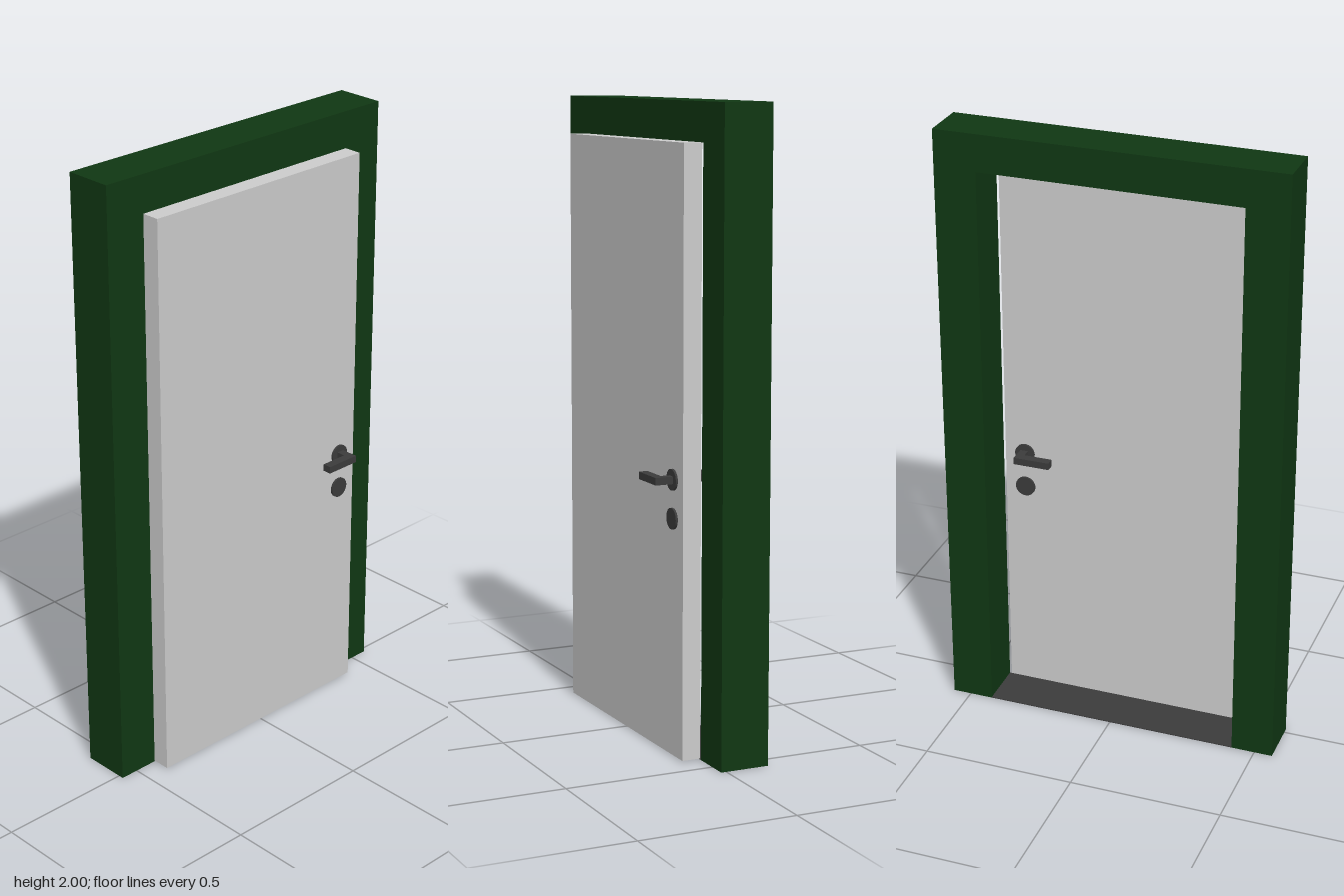
import * as THREE from 'three';

const BACK = -0.142, FRAME_FRONT = 0.017, DOOR_FRONT = 0.077;
const DOOR_MID = (FRAME_FRONT + DOOR_FRONT) / 2;
const DOOR_HALF = (DOOR_FRONT - FRAME_FRONT) / 2;

const green = new THREE.MeshStandardMaterial({ color: 0x10371a & 0xffff00 | 0x13 });
const grey = new THREE.MeshStandardMaterial({ color: 0xcccccc });
const dark = new THREE.MeshStandardMaterial({ color: 0x3b3b3b });

function add(parent, name, geometry, material) {
  const mesh = new THREE.Mesh(geometry, material);
  mesh.name = name;
  parent.add(mesh);
  return mesh;
}

// Box given by its minimum and maximum corners
function box(parent, name, min, max, material) {
  const size = max.map((v, i) => v - min[i]);
  const mesh = add(parent, name, new THREE.BoxGeometry(...size), material);
  mesh.position.set(...max.map((v, i) => (v + min[i]) / 2));
  return mesh;
}

// Lever, neck and round plates for one face; z = 0 is the middle of the leaf
function createHandle(name, side) {
  const handle = new THREE.Group();
  handle.name = name;
  for (const [part, y] of [['handleRose', 0.866], ['keyRose', 0.746]]) {
    const rose = add(handle, part, new THREE.CylinderGeometry(0.033, 0.033, 0.007, 32), dark);
    rose.rotation.x = Math.PI / 2;
    rose.position.set(0.348, y, side * (DOOR_HALF + 0.0035));
  }
  // L-shaped lever seen from above: neck, then grip toward the hinges
  const tip = 0.095, inner = 0.066;
  const outline = new THREE.Shape([
    [0.336, DOOR_HALF], [0.362, DOOR_HALF], [0.362, tip],
    [0.242, tip], [0.242, inner], [0.336, inner],
  ].map(([x, z]) => new THREE.Vector2(x, side * z)));
  const geometry = new THREE.ExtrudeGeometry(outline, { depth: 0.023, bevelEnabled: false });
  geometry.rotateX(Math.PI / 2);
  add(handle, 'lever', geometry, dark).position.y = 0.878;
  handle.position.z = DOOR_MID;
  return handle;
}

export function createModel() {
  const model = new THREE.Group();
  model.name = 'door';

  // Surround, open at the bottom
  const outline = new THREE.Shape([
    [-0.56, 0], [-0.423, 0], [-0.423, 1.88], [0.423, 1.88],
    [0.423, 0], [0.56, 0], [0.56, 2], [-0.56, 2],
  ].map(([x, y]) => new THREE.Vector2(x, y)));
  const frame = new THREE.ExtrudeGeometry(outline, { depth: FRAME_FRONT - BACK, bevelEnabled: false });
  add(model, 'frame', frame, green).position.z = BACK;

  // Thin floor strip between the posts
  box(model, 'threshold', [-0.423, 0, BACK], [0.423, 0.003, FRAME_FRONT], dark);

  // Leaf with a small gap on the handle side
  box(model, 'leaf', [-0.423, 0.003, FRAME_FRONT], [0.416, 1.88, DOOR_FRONT], grey);

  model.add(createHandle('frontHandle', 1), createHandle('backHandle', -1));
  return model;
}
